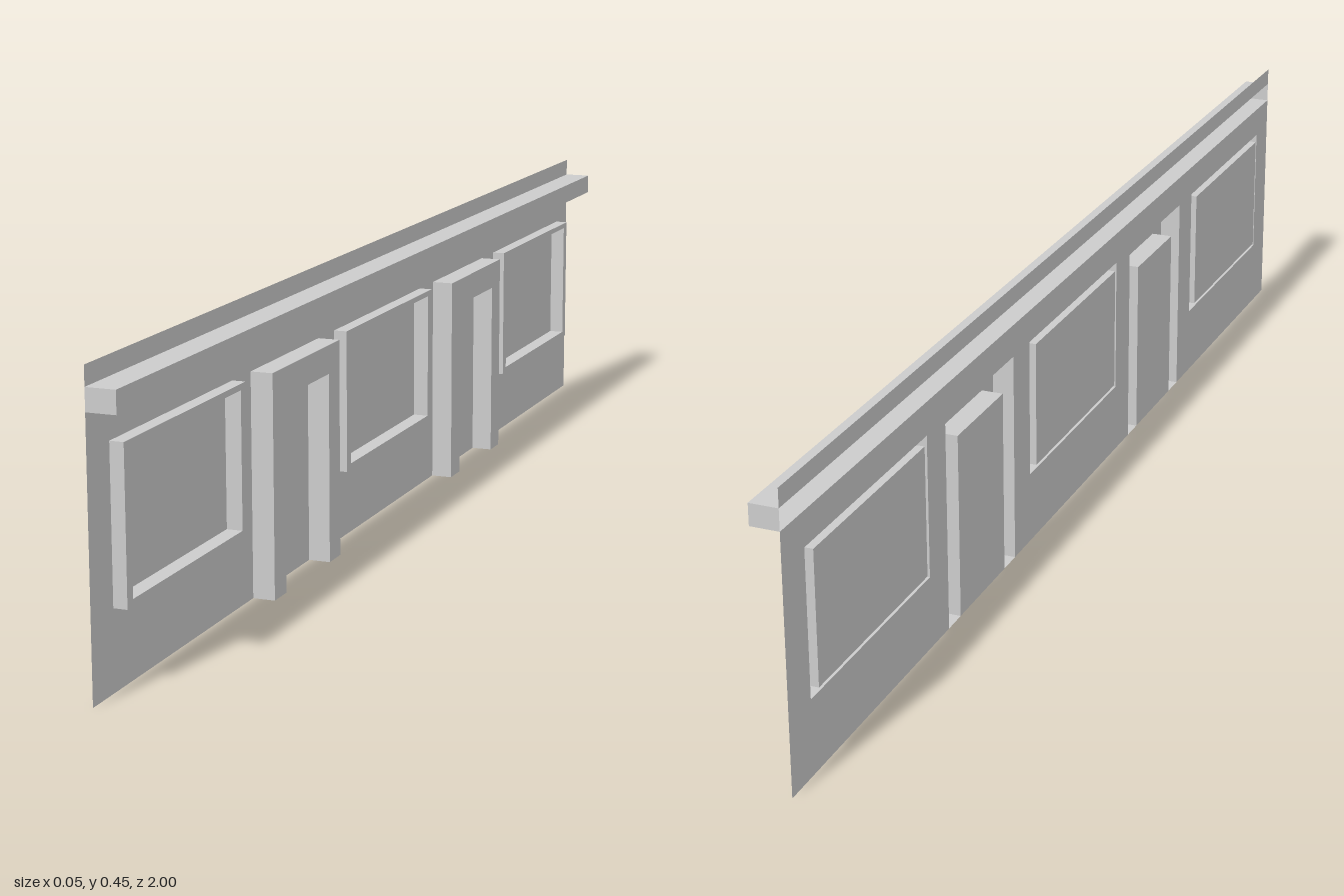
import * as THREE from 'three';

const material = new THREE.MeshStandardMaterial({ color: 0xcccccc, flatShading: true, side: THREE.DoubleSide });

// Depths along x
const WALL = -0.0205, PANE = -0.0245, WINDOW = 0, DOOR = 0.0138, CORNICE = 0.0232;
// Heights
const TOP = 0.45, CORNICE_LOW = 0.389, CORNICE_HIGH = 0.4215;

// Outlines are [u, y] points with u = -z, seen from +x
const rect = (u, halfWidth, y0, y1) => [
  [u - halfWidth, y0], [u + halfWidth, y0], [u + halfWidth, y1], [u - halfWidth, y1],
];
const toVectors = (points) => points.map(([u, y]) => new THREE.Vector2(u, y));

// Flat sheet facing +x, with optional holes
function sheet(name, x, outline, holes = []) {
  const shape = new THREE.Shape(toVectors(outline));
  holes.forEach((hole) => shape.holes.push(new THREE.Path(toVectors(hole))));
  const geometry = new THREE.ShapeGeometry(shape).rotateY(Math.PI / 2).translate(x, 0, 0);
  const mesh = new THREE.Mesh(geometry, material);
  mesh.name = name;
  return mesh;
}

// Side walls following a closed outline between two depths
function band(name, x0, x1, outline) {
  const positions = [];
  outline.forEach(([u0, y0], i) => {
    const [u1, y1] = outline[(i + 1) % outline.length];
    const a = [x0, y0, -u0], b = [x0, y1, -u1], c = [x1, y1, -u1], d = [x1, y0, -u0];
    positions.push(...a, ...b, ...c, ...a, ...c, ...d);
  });
  const geometry = new THREE.BufferGeometry();
  geometry.setAttribute('position', new THREE.Float32BufferAttribute(positions, 3));
  geometry.computeVertexNormals();
  const mesh = new THREE.Mesh(geometry, material);
  mesh.name = name;
  return mesh;
}

function group(name, ...parts) {
  const g = new THREE.Group();
  g.name = name;
  return g.add(...parts);
}

export function createModel() {
  const model = group('wallSection');
  const windows = [-0.75, 0, 0.75];
  const doors = [-0.375, 0.375];
  const windowOuter = (u) => rect(u, 0.1875, 0.115, 0.338);

  // Wall sheet, notched for the doors and pierced for the windows
  const outline = [[-1, 0]];
  doors.forEach((u) => outline.push(
    [u - 0.125, 0], [u - 0.125, 0.338], [u + 0.125, 0.338], [u + 0.125, 0],
  ));
  outline.push([1, 0], [1, CORNICE_LOW], [-1, CORNICE_LOW]);
  model.add(sheet('wall', WALL, outline, windows.map(windowOuter)));
  model.add(sheet('parapet', WALL, rect(0, 1, CORNICE_HIGH, TOP)));

  // Cornice, hollow towards the back
  const corniceOutline = rect(0, 1, CORNICE_LOW, CORNICE_HIGH);
  model.add(group('cornice',
    sheet('corniceFace', CORNICE, corniceOutline),
    band('corniceSides', WALL, CORNICE, corniceOutline)));

  // Windows: raised hollow rim around a pane set behind the wall
  windows.forEach((u) => {
    const outer = windowOuter(u), inner = rect(u, 0.171, 0.125, 0.329);
    model.add(group('window',
      sheet('windowRim', WINDOW, outer, [inner]),
      band('windowRimSides', WALL, WINDOW, outer),
      band('windowReveal', PANE, WINDOW, inner),
      sheet('windowPane', PANE, inner)));
  });

  // Doors: deep hollow surround with the door leaf in the wall plane
  doors.forEach((u) => {
    const o = 0.125, i = 0.083, h = 0.338, k = 0.294;
    const surround = [
      [u - o, 0], [u - i, 0], [u - i, k], [u + i, k],
      [u + i, 0], [u + o, 0], [u + o, h], [u - o, h],
    ];
    model.add(group('doorway',
      sheet('doorSurround', DOOR, surround),
      band('doorSurroundSides', WALL, DOOR, surround),
      sheet('doorLeaf', WALL, rect(u, i, 0, k))));
  });

  return model;
}
